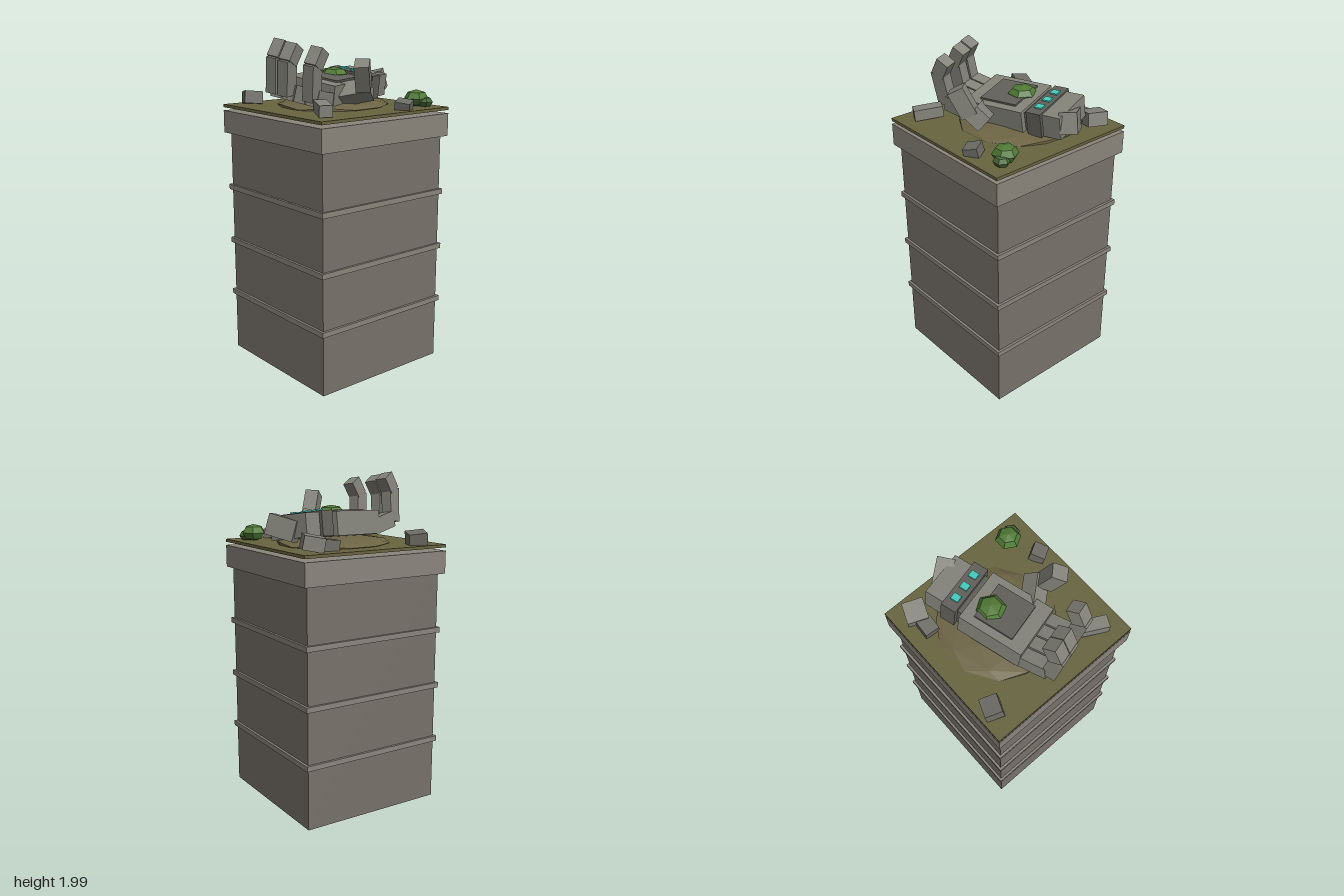
import * as THREE from 'three';

const mat = (color) => new THREE.MeshStandardMaterial({ color, flatShading: true });
const M = {
  wall: mat(0x77716a), trim: mat(0x8a857c), grass: mat(0x68643f), mound: mat(0x6e6545),
  stone: mat(0x85847b), dark: mat(0x62615b), rock: mat(0x6d6c66), glow: mat(0x40d0c0),
  bush: mat(0x4f7a35), bushDark: mat(0x466a34),
};

function add(parent, name, geometry, material, pos = [0, 0, 0], rot = [0, 0, 0]) {
  const mesh = new THREE.Mesh(geometry, material);
  mesh.name = name;
  mesh.position.set(...pos);
  mesh.rotation.set(...rot);
  parent.add(mesh);
  return mesh;
}
const box = (parent, name, material, size, pos, rot) =>
  add(parent, name, new THREE.BoxGeometry(...size), material, pos, rot);

// Box stretched from point a to point b, with a twist about its own length
function segment(parent, name, material, a, b, w, d, twist = 0) {
  const from = new THREE.Vector3(...a), to = new THREE.Vector3(...b);
  const dir = to.clone().sub(from);
  const mesh = box(parent, name, material, [w, dir.length(), d], [0, 0, 0]);
  mesh.position.copy(from).add(to).multiplyScalar(0.5);
  mesh.quaternion.setFromUnitVectors(new THREE.Vector3(0, 1, 0), dir.normalize());
  mesh.rotateY(twist);
  return mesh;
}

function bush(parent, material, r, squash, pos) {
  const g = new THREE.SphereGeometry(r, 6, 4);
  g.rotateY(Math.PI / 6);
  g.scale(1, squash, 1);
  add(parent, 'bush', g, material, pos);
}

function buildTower() {
  const tower = new THREE.Group();
  tower.name = 'tower';
  box(tower, 'towerShaft', M.wall, [0.9, 1.42, 0.9], [0, 0.71, 0]);
  for (const y of [0.38, 0.725, 1.07]) box(tower, 'towerBand', M.trim, [0.93, 0.032, 0.93], [0, y, 0]);
  box(tower, 'towerCap', M.trim, [0.96, 0.135, 0.96], [0, 1.478, 0]);
  box(tower, 'grassSlab', M.grass, [0.96, 0.018, 0.96], [0, 1.574, 0]);
  const moundShape = new THREE.IcosahedronGeometry(1, 1);
  moundShape.scale(0.33, 0.038, 0.36);
  add(tower, 'earthMound', moundShape, M.mound, [-0.05, 1.587, -0.03], [0, 0.3, 0]);
  return tower;
}

function buildHand() {
  const hand = new THREE.Group();
  hand.name = 'stoneHand';
  hand.position.set(-0.03, 1.685, 0.015);
  hand.rotation.set(0.04, 0.28, -0.14, 'YXZ');

  // Palm and its raised panel
  box(hand, 'palm', M.stone, [0.335, 0.14, 0.385], [0, 0, 0]);
  box(hand, 'palmPanel', M.dark, [0.24, 0.02, 0.235], [0, 0.071, -0.01]);

  // Wrist, cuff and glowing studs
  box(hand, 'wristJoint', M.dark, [0.27, 0.11, 0.06], [0, 0, -0.21]);
  box(hand, 'cuff', M.dark, [0.32, 0.145, 0.09], [0, 0.005, -0.265]);
  for (const i of [-1, 0, 1]) box(hand, 'cuffStud', M.glow, [0.042, 0.012, 0.045], [i * 0.085, 0.08, -0.265]);
  box(hand, 'wrist', M.stone, [0.28, 0.135, 0.12], [0, 0, -0.36]);

  // Four fingers; the third is broken off at the first knuckle
  [-0.126, -0.042, 0.042, 0.126].forEach((x, i) => {
    const finger = new THREE.Group();
    finger.name = 'finger' + (i + 1);
    const drop = [0, 0.005, 0, 0][i], back = [0, 0, 0, 0.01][i];
    segment(finger, 'lowerPhalange', M.stone, [x, -0.025, 0.17], [x, 0.015, 0.345], 0.076, 0.095);
    if (i !== 2) {
      segment(finger, 'middlePhalange', M.stone, [x, 0.0, 0.36 - back], [x, 0.205 - drop, 0.378 - back], 0.07, 0.085);
      segment(finger, 'fingertip', M.stone, [x, 0.19 - drop, 0.375 - back], [x, 0.28 - drop, 0.32 - back], 0.078, 0.08);
    }
    hand.add(finger);
  });
  return hand;
}

function buildDebris() {
  const debris = new THREE.Group();
  debris.name = 'debris';
  // Broken wrist lump and fallen finger piece
  box(debris, 'brokenWrist', M.stone, [0.17, 0.12, 0.1], [-0.115, 1.695, -0.4], [0.15, 0.68, 0.15]);
  box(debris, 'fallenFinger', M.stone, [0.17, 0.065, 0.075], [0.315, 1.625, 0.34], [0, -0.46, -0.08]);
  // Loose rocks
  box(debris, 'rock', M.stone, [0.12, 0.08, 0.12], [-0.355, 1.63, -0.355], [0.2, -0.38, 0.1]);
  box(debris, 'rock', M.rock, [0.085, 0.07, 0.1], [-0.355, 1.61, -0.255], [0.1, -0.08, 0]);
  box(debris, 'rock', M.rock, [0.1, 0.075, 0.11], [-0.395, 1.62, 0.325], [-0.1, -0.4, 0.12]);
  box(debris, 'rock', M.rock, [0.09, 0.06, 0.085], [0.4, 1.605, -0.19], [0.25, 0.5, -0.25]);
  return debris;
}

export function createModel() {
  const model = new THREE.Group();
  model.name = 'ruinTower';
  model.add(buildTower(), buildHand(), buildDebris());

  // Thumb rising beside the palm
  const thumb = new THREE.Group();
  thumb.name = 'thumb';
  segment(thumb, 'thumbBase', M.stone, [0.11, 1.66, 0.07], [0.265, 1.7, -0.06], 0.1, 0.1);
  segment(thumb, 'thumbTip', M.stone, [0.265, 1.71, 0.0], [0.315, 1.855, 0.06], 0.085, 0.095, 0.75);
  model.add(thumb);

  // Bushes
  bush(model, M.bush, 0.075, 0.68, [0.325, 1.63, -0.365]);
  bush(model, M.bushDark, 0.05, 0.68, [0.37, 1.61, -0.39]);
  bush(model, M.bush, 0.085, 0.5, [-0.07, 1.765, -0.055]);
  return model;
}
